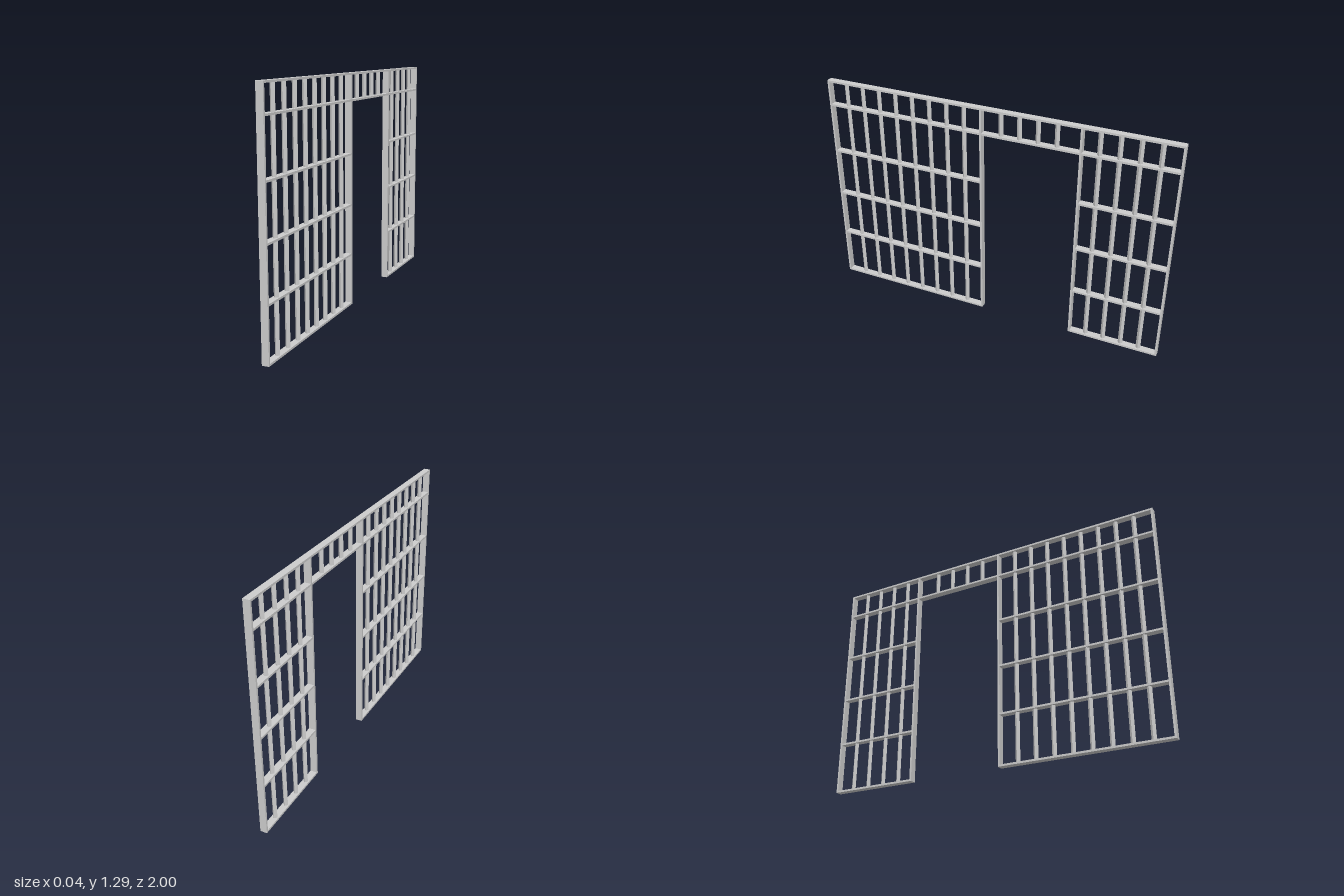
import * as THREE from 'three';

const H = 1.29;      // overall height
const DEPTH = 0.038; // frame depth along x
const T = 0.011;     // thickness of the flat stock
const BAR = 0.019;   // side of the square bars

export function createModel() {
  const group = new THREE.Group();
  group.name = 'barredGate';
  const mat = new THREE.MeshStandardMaterial({ color: 0xcccccc, flatShading: true });

  // Box spanning y0..y1 and z0..z1
  const flat = (name, y0, y1, z0, z1) => {
    const m = new THREE.Mesh(new THREE.BoxGeometry(DEPTH, y1 - y0, z1 - z0), mat);
    m.position.set(0, (y0 + y1) / 2, (z0 + z1) / 2);
    m.name = name;
    group.add(m);
  };
  // Square bar turned edge-on
  const bar = (name, y0, y1, z) => {
    const m = new THREE.Mesh(new THREE.BoxGeometry(BAR, y1 - y0, BAR), mat);
    m.position.set(0, (y0 + y1) / 2, z);
    m.rotation.y = Math.PI / 4;
    m.name = name;
    group.add(m);
  };

  const lintel = 1.143;
  const panels = [
    { name: 'widePanel', back: 0.058, front: 1, first: 0.166, count: 8 },
    { name: 'narrowPanel', back: -1, front: -0.483, first: -0.891, count: 4 },
  ];

  // Top rail runs the whole length
  flat('topRail', H - T, H, -1, 1);

  for (const p of panels) {
    // Side posts
    flat(p.name + 'BackPost', 0, H - T, p.back, p.back + T);
    flat(p.name + 'FrontPost', 0, H - T, p.front - T, p.front);
    // Bottom, middle and lintel-height rails
    for (const y of [T / 2, 0.29, 0.571, 0.853, lintel]) {
      flat(p.name + 'Rail', y - T / 2, y + T / 2, p.back + T, p.front - T);
    }
    // Vertical bars
    for (let i = 0; i < p.count; i++) {
      bar(p.name + 'Bar', T, H - T, p.first + i * 0.103);
    }
  }

  // Doorway lintel with short bars above it
  flat('doorLintel', lintel - T / 2, lintel + T / 2, -0.483, 0.058);
  for (let i = 0; i < 4; i++) bar('transomBar', lintel, H - T, -0.048 - i * 0.103);

  return group;
}
